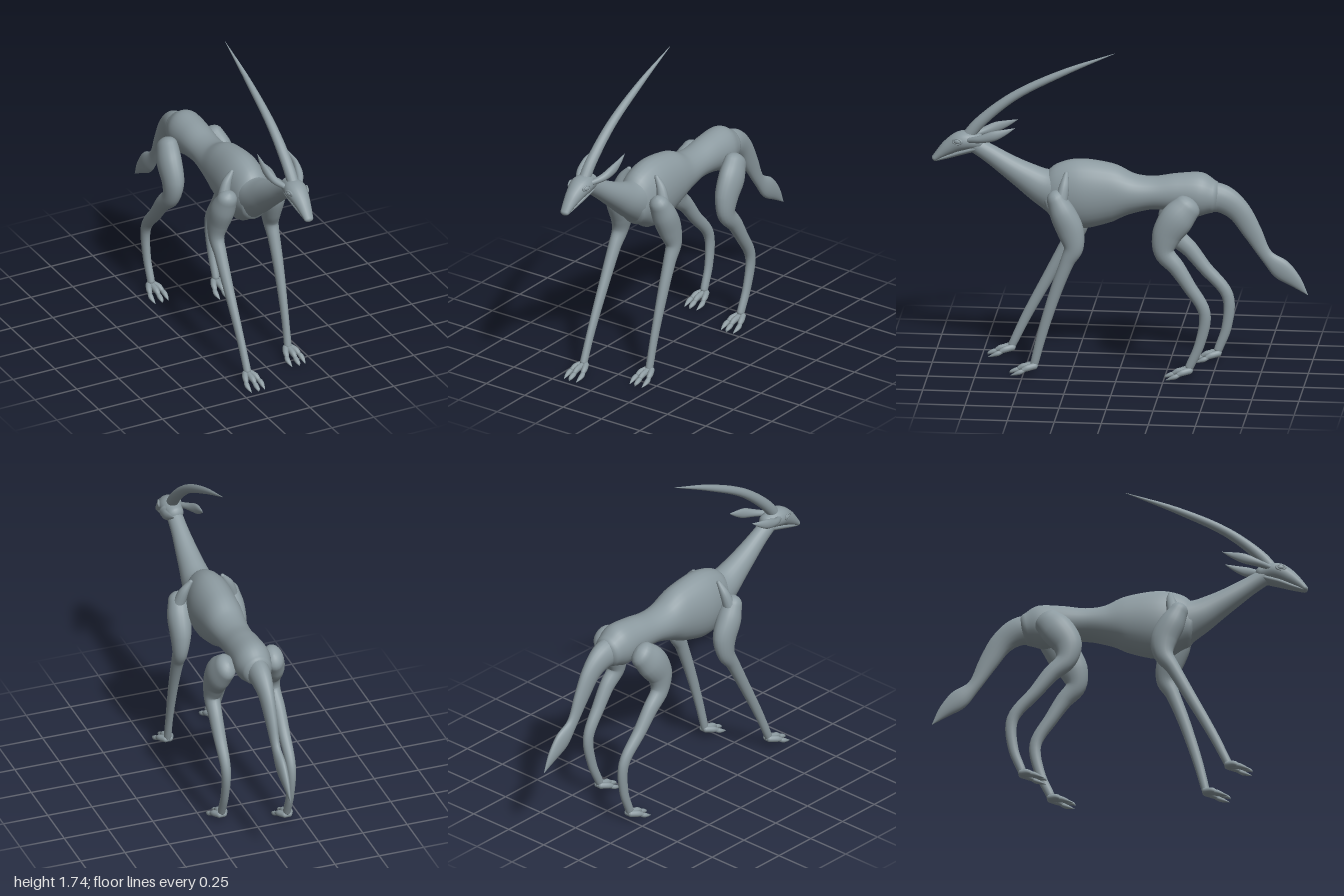
import * as THREE from 'three';

const hide = new THREE.MeshStandardMaterial({ color: 0x8c9aa0 });
hide.name = 'slate hide';

// Smooth loft through sections [x, y, z, half width, half depth], with rounded end caps.
function loft(name, sections, { steps = 6, sides = 20, startCap = 0, endCap = 0 } = {}) {
  const path = new THREE.CatmullRomCurve3(sections.map(s => new THREE.Vector3(s[0], s[1], s[2])));
  const size = new THREE.CatmullRomCurve3(
    sections.map(s => new THREE.Vector3(s[3], s[4], 0)), false, 'catmullrom', 0.5);
  const rings = [];
  const addRing = (t, scale, shift) => {
    const T = path.getTangent(t), c = path.getPoint(t), r = size.getPoint(t);
    const S = new THREE.Vector3(1, 0, 0).addScaledVector(T, -T.x).normalize();
    const N = new THREE.Vector3().crossVectors(T, S);
    c.addScaledVector(T, shift);
    rings.push({ c, S, N, a: Math.max(r.x * scale, 0.0004), b: Math.max(r.y * scale, 0.0004) });
  };
  const capAngles = [1, 0.8, 0.6, 0.4, 0.2].map(k => k * Math.PI / 2);
  const first = sections[0], last = sections[sections.length - 1];
  for (const q of capAngles) addRing(0, Math.cos(q), -Math.sin(q) * startCap * Math.min(first[3], first[4]));
  const total = (sections.length - 1) * steps;
  for (let i = 0; i <= total; i++) addRing(i / total, 1, 0);
  for (const q of capAngles.slice().reverse()) addRing(1, Math.cos(q), Math.sin(q) * endCap * Math.min(last[3], last[4]));

  const pos = [], index = [];
  rings.forEach(({ c, S, N, a, b }, i) => {
    for (let j = 0; j < sides; j++) {
      const q = (j / sides) * Math.PI * 2;
      const p = c.clone().addScaledVector(S, Math.cos(q) * a).addScaledVector(N, Math.sin(q) * b);
      pos.push(p.x, p.y, p.z);
      if (i === rings.length - 1) continue;
      const k = (j + 1) % sides, u = i * sides, v = u + sides;
      index.push(u + j, u + k, v + k, u + j, v + k, v + j);
    }
  });
  const g = new THREE.BufferGeometry();
  g.setAttribute('position', new THREE.Float32BufferAttribute(pos, 3));
  g.setIndex(index);
  g.computeVertexNormals();
  const mesh = new THREE.Mesh(g, hide);
  mesh.name = name;
  return mesh;
}

// Three splayed toes, each a knuckle with a pointed claw.
function foot(x, z) {
  const group = new THREE.Group();
  group.name = 'foot';
  for (const s of [-1, 0, 1]) {
    const f = s === 0 ? 0.025 : 0;
    group.add(loft('toe', [
      [x + s * 0.012, 0.05, z - 0.005, 0.018, 0.018],
      [x + s * 0.03, 0.043, z + 0.03 + f, 0.016, 0.017],
      [x + s * 0.035, 0.034, z + 0.05 + f, 0.013, 0.013],
    ], { steps: 4, sides: 10, startCap: 1, endCap: 1 }));
    group.add(loft('claw', [
      [x + s * 0.035, 0.032, z + 0.045 + f, 0.01, 0.01],
      [x + s * 0.041, 0.022, z + 0.07 + f, 0.014, 0.013],
      [x + s * 0.041, 0.012, z + 0.095 + f, 0.01, 0.008],
      [x + s * 0.039, 0.002, z + 0.12 + f * 0.3, 0.001, 0.001],
    ], { steps: 4, sides: 10, startCap: 1 }));
  }
  return group;
}

function frontLeg(s, [knee, shin, pastern, ankle]) {
  const group = new THREE.Group();
  group.name = s > 0 ? 'leftFrontLeg' : 'rightFrontLeg';
  group.add(loft('upperLeg', [
    [s * 0.142, 0.965, 0.325, 0.055, 0.052],
    [s * 0.15, 0.89, 0.29, 0.064, 0.07],
    [s * 0.157, 0.8, 0.25, 0.055, 0.072],
    [s * 0.167, 0.71, knee, 0.04, 0.053],
    [s * 0.168, 0.63, knee + (shin - knee) * 0.36, 0.033, 0.038],
    [s * 0.167, 0.47, shin, 0.027, 0.032],
    [s * 0.163, 0.225, pastern, 0.02, 0.026],
    [s * 0.16, 0.065, ankle, 0.02, 0.022],
  ], { startCap: 1, endCap: 1 }));
  // Pointed shoulder blade leaning in against the ribs
  group.add(loft('shoulderBlade', [
    [s * 0.15, 0.96, 0.3, 0.035, 0.035],
    [s * 0.125, 1.04, 0.285, 0.026, 0.026],
    [s * 0.09, 1.095, 0.278, 0.012, 0.012],
  ], { sides: 12, startCap: 1, endCap: 1 }));
  group.add(foot(s * 0.16, ankle + 0.005));
  return group;
}

function hindLeg(s, [knee, shin, hock, cannon, ankle]) {
  const group = new THREE.Group();
  group.name = s > 0 ? 'leftHindLeg' : 'rightHindLeg';
  group.add(loft('hindLimb', [
    [s * 0.135, 0.945, -0.37, 0.055, 0.075],
    [s * 0.152, 0.88, -0.315, 0.062, 0.09],
    [s * 0.158, 0.79, -0.262, 0.055, 0.078],
    [s * 0.165, 0.7, knee, 0.043, 0.056],
    [s * 0.17, 0.62, knee + (shin - knee) * 0.5, 0.037, 0.045],
    [s * 0.17, 0.52, shin, 0.033, 0.037],
    [s * 0.167, 0.37, hock, 0.026, 0.032],
    [s * 0.164, 0.2, cannon, 0.021, 0.027],
    [s * 0.162, 0.07, ankle, 0.02, 0.023],
  ], { startCap: 0.9, endCap: 1 }));
  group.add(foot(s * 0.162, ankle + 0.005));
  return group;
}

export function createModel() {
  const model = new THREE.Group();
  model.name = 'hornedGrazer';

  model.add(loft('torso', [
    [0, 0.93, 0.385, 0.085, 0.105],
    [0, 0.95, 0.31, 0.108, 0.172],
    [0, 0.962, 0.2, 0.122, 0.19],
    [0, 0.973, 0.04, 0.112, 0.158],
    [0, 0.972, -0.07, 0.1, 0.108],
    [0, 0.978, -0.18, 0.092, 0.089],
    [0, 0.983, -0.31, 0.096, 0.105],
    [0, 0.975, -0.42, 0.1, 0.12],
    [0, 0.965, -0.49, 0.082, 0.09],
  ], { sides: 28, startCap: 0.3, endCap: 0.5 }));

  model.add(loft('neck', [
    [0, 0.965, 0.32, 0.098, 0.14],
    [0, 0.995, 0.41, 0.085, 0.1],
    [0, 1.045, 0.5, 0.07, 0.078],
    [0, 1.1, 0.59, 0.058, 0.062],
    [0, 1.165, 0.69, 0.046, 0.05],
    [0, 1.22, 0.78, 0.042, 0.044],
  ], { sides: 24 }));

  model.add(loft('tail', [
    [0, 0.965, -0.45, 0.065, 0.085],
    [0, 0.955, -0.54, 0.057, 0.078],
    [0, 0.895, -0.625, 0.042, 0.064],
    [0, 0.78, -0.7, 0.031, 0.052],
    [0, 0.65, -0.775, 0.023, 0.036],
    [0, 0.575, -0.855, 0.026, 0.056],
    [0, 0.51, -0.93, 0.018, 0.036],
    [0, 0.435, -0.998, 0.001, 0.001],
  ], { startCap: 0.5 }));

  // Head, jaw and horn
  model.add(loft('skull', [
    [0, 1.232, 0.755, 0.046, 0.042],
    [0, 1.235, 0.835, 0.06, 0.054],
    [0, 1.2, 0.905, 0.046, 0.044],
    [0, 1.162, 0.955, 0.034, 0.028],
    [0, 1.135, 0.985, 0.026, 0.018],
  ], { startCap: 0.8, endCap: 0.9 }));
  model.add(loft('jaw', [
    [0, 1.2, 0.77, 0.042, 0.022],
    [0, 1.175, 0.85, 0.038, 0.02],
    [0, 1.148, 0.92, 0.028, 0.015],
    [0, 1.127, 0.98, 0.02, 0.01],
  ], { sides: 16, startCap: 1, endCap: 1 }));
  model.add(loft('horn', [
    [0, 1.255, 0.815, 0.031, 0.032],
    [0, 1.335, 0.75, 0.03, 0.031],
    [0, 1.485, 0.57, 0.025, 0.025],
    [0, 1.625, 0.305, 0.016, 0.018],
    [0, 1.74, 0.03, 0.001, 0.001],
  ], { sides: 16 }));

  for (const s of [-1, 1]) {
    model.add(loft('ear', [
      [s * 0.045, 1.25, 0.8, 0.014, 0.014],
      [s * 0.073, 1.265, 0.74, 0.02, 0.02],
      [s * 0.087, 1.288, 0.67, 0.017, 0.027],
      [s * 0.086, 1.31, 0.61, 0.01, 0.017],
      [s * 0.08, 1.335, 0.552, 0.001, 0.001],
    ], { sides: 14, startCap: 1 }));

    const eye = new THREE.Group();
    eye.name = 'eye';
    const ball = new THREE.Mesh(new THREE.SphereGeometry(0.013, 16, 12), hide);
    ball.name = 'eyeball';
    ball.scale.set(1.5, 1, 0.7);
    const lid = new THREE.Mesh(new THREE.TorusGeometry(0.016, 0.005, 8, 20), hide);
    lid.name = 'eyelid';
    lid.scale.set(1.45, 0.9, 1);
    eye.add(ball, lid);
    eye.position.set(s * 0.054, 1.242, 0.862);
    eye.rotation.y = s * 1.3;
    model.add(eye);
  }

  // Legs caught mid-stride, each side with its own lower-leg depths
  model.add(frontLeg(1, [0.232, 0.325, 0.4, 0.44]));
  model.add(frontLeg(-1, [0.25, 0.385, 0.515, 0.59]));
  model.add(hindLeg(1, [-0.25, -0.38, -0.465, -0.44, -0.385]));
  model.add(hindLeg(-1, [-0.27, -0.43, -0.553, -0.55, -0.505]));
  return model;
}
